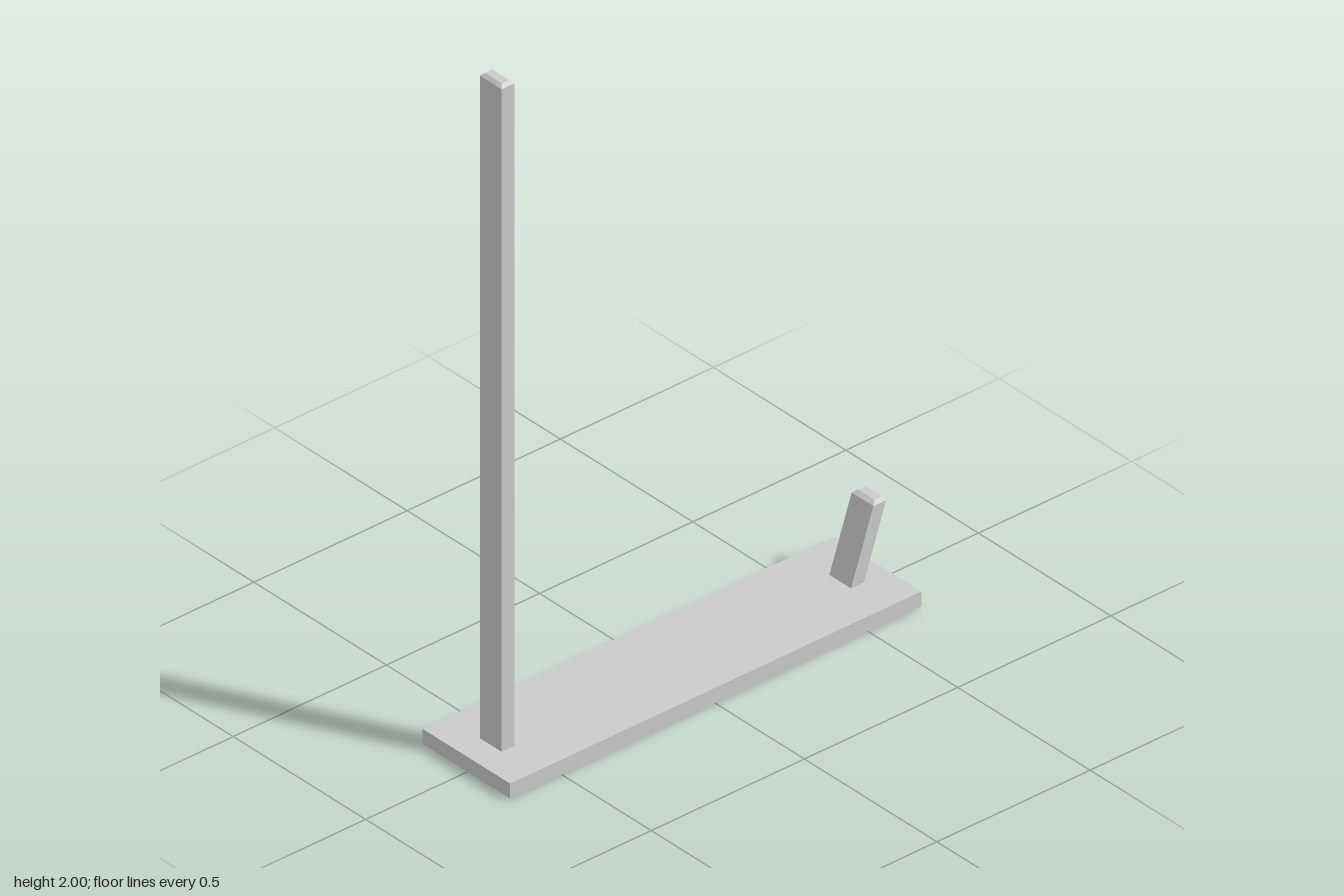
import * as THREE from 'three';

const material = new THREE.MeshStandardMaterial({ color: 0xcccccc, flatShading: true });

function add(group, name, geometry, x, y, z) {
  const mesh = new THREE.Mesh(geometry, material);
  mesh.name = name;
  mesh.position.set(x, y, z);
  group.add(mesh);
}

// Rectangular bar standing on y = 0 with a chamfered top, sheared along z by lean
function bar(width, height, depth, lean = 0, chamfer = 0.009) {
  const g = new THREE.BoxGeometry(width, height, depth, 1, 2, 1);
  g.translate(0, height / 2, 0);
  const p = g.attributes.position;
  for (let i = 0; i < p.count; i++) {
    let x = p.getX(i), y = p.getY(i), z = p.getZ(i);
    if (y > height * 0.75) {
      x -= Math.sign(x) * chamfer;
      z -= Math.sign(z) * chamfer;
    } else if (y > height * 0.25) {
      y = height - chamfer;
    }
    p.setXYZ(i, x, y, z + lean * y / height);
  }
  const flat = g.toNonIndexed();
  flat.computeVertexNormals();
  return flat;
}

export function createModel() {
  const group = new THREE.Group();
  group.name = 'postStand';
  const padHeight = 0.003, baseTop = 0.047;

  // Base plate on a thin, slightly inset pad
  add(group, 'footPad', new THREE.BoxGeometry(0.3, padHeight, 1.31), 0, padHeight / 2, 0);
  add(group, 'basePlate', new THREE.BoxGeometry(0.33, baseTop - padHeight, 1.342), 0, (baseTop + padHeight) / 2, 0);

  // Tall upright at the front, short peg leaning backwards at the rear
  add(group, 'tallPost', bar(0.082, 2 - baseTop, 0.042), 0, baseTop, 0.571);
  add(group, 'leaningPeg', bar(0.082, 0.22, 0.042, -0.076), 0, baseTop, -0.57);

  return group;
}
